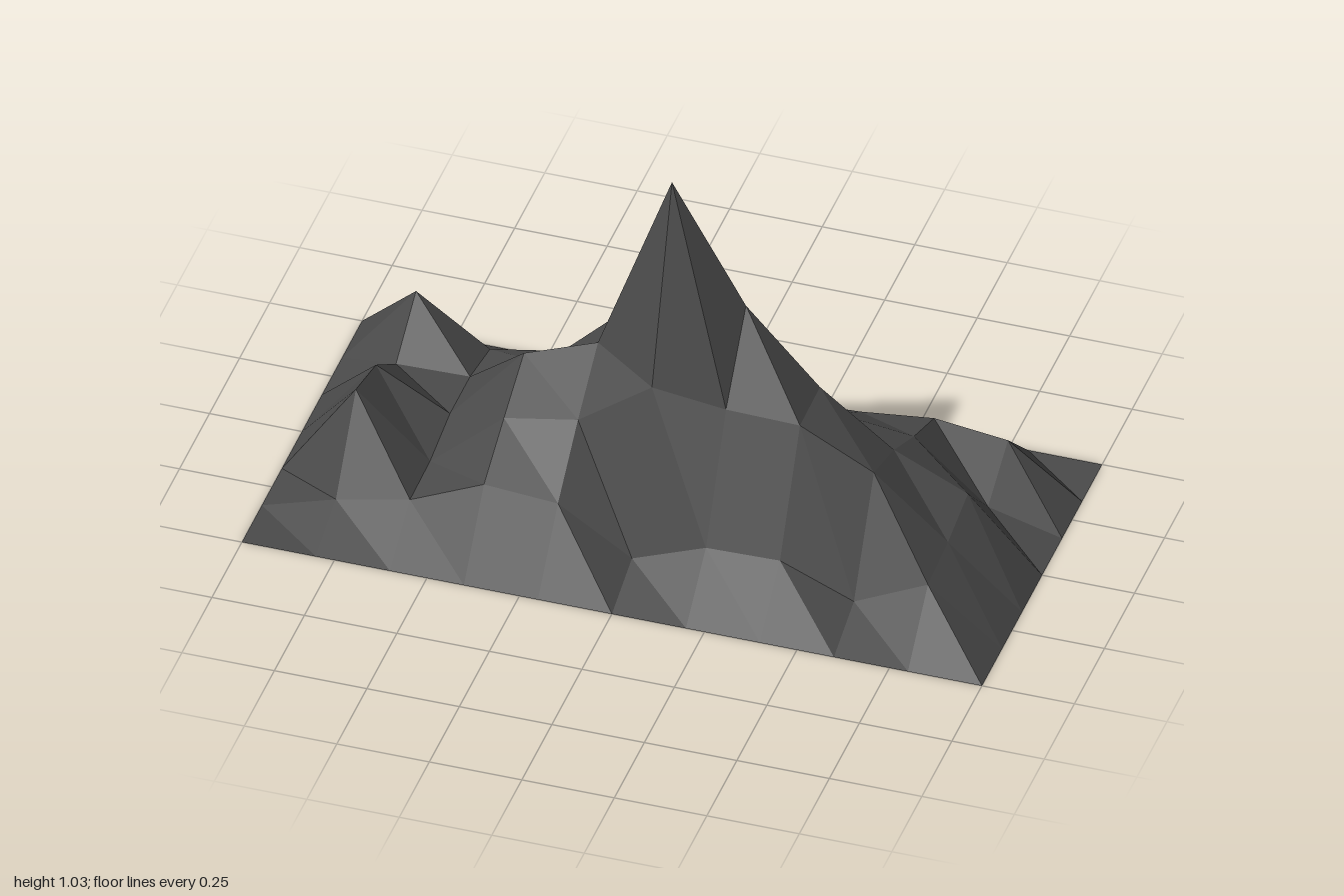
import * as THREE from 'three';

// Interior ridge heights: rows run back to front, columns from -x to +x.
// The outer rim of the terrain lies at zero.
const HEIGHTS = [
  [0.26, 0.12, 0.16, 0.16, 0.16, 0.14, 0.15, 0.175, 0.15],
  [0.145, 0.15, 0.24, 0.44, 0.44, 0.39, 0.26, 0.235, 0.055],
  [0.26, 0.15, 0.39, 0.47, 1.03, 0.68, 0.465, 0.31, 0.215],
  [0.30, 0.115, 0.30, 0.34, 0.49, 0.465, 0.46, 0.355, 0.178],
  [0.065, 0.11, 0.205, 0.19, 0.06, 0.14, 0.145, 0.06, 0.16],
];
const COLS = 10, ROWS = 6;

// Height-field sheet with every cell split from back-left to front-right
function terrainGeometry() {
  const positions = [], indices = [];
  for (let r = 0; r <= ROWS; r++) {
    for (let c = 0; c <= COLS; c++) {
      const height = HEIGHTS[r - 1]?.[c - 1] ?? 0;
      positions.push(-1 + (2 * c) / COLS, height, -0.5 + r / ROWS);
    }
  }
  for (let r = 0; r < ROWS; r++) {
    for (let c = 0; c < COLS; c++) {
      const a = r * (COLS + 1) + c, b = a + 1;
      const d = a + COLS + 1, e = d + 1;
      indices.push(a, d, e, a, e, b);
    }
  }
  const indexed = new THREE.BufferGeometry();
  indexed.setAttribute('position', new THREE.Float32BufferAttribute(positions, 3));
  indexed.setIndex(indices);
  const geometry = indexed.toNonIndexed(); // separate facets
  geometry.computeVertexNormals();
  return geometry;
}

export function createModel() {
  const group = new THREE.Group();
  group.name = 'mountainRange';
  const rock = new THREE.MeshStandardMaterial({
    color: 0x4a4a4a,
    flatShading: true,
    side: THREE.DoubleSide,
  });
  const mountain = new THREE.Mesh(terrainGeometry(), rock);
  mountain.name = 'mountainSurface';
  group.add(mountain);
  return group;
}
